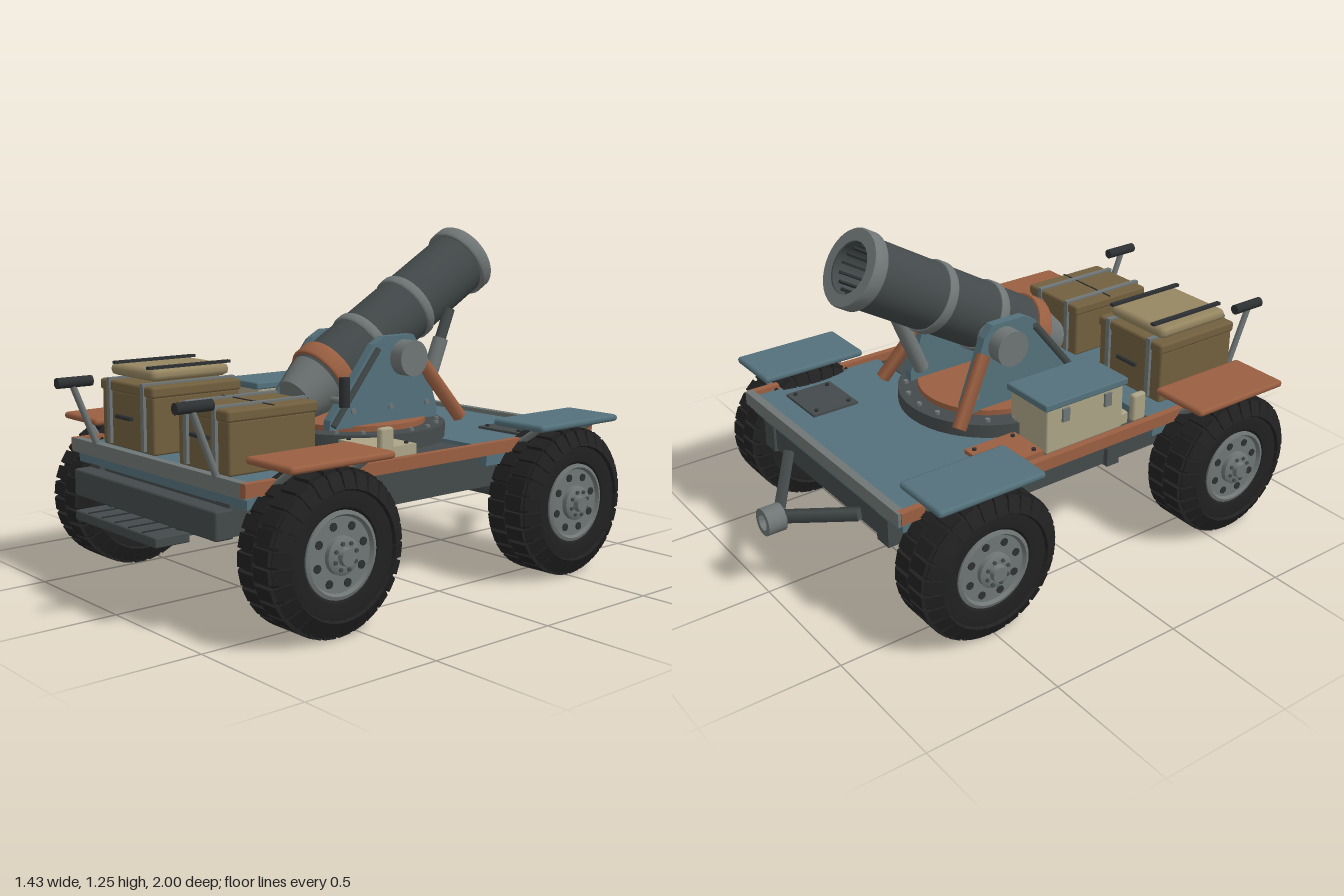
import * as THREE from 'three';
import { toCreasedNormals } from 'three/addons/utils/BufferGeometryUtils.js';
import { RoundedBoxGeometry } from 'three/addons/geometries/RoundedBoxGeometry.js';

const paint = (name, color) => Object.assign(new THREE.MeshStandardMaterial({ color }), { name });
const M = {
  teal: paint('teal paint', 0x54717b), rust: paint('rust orange paint', 0x9a5f41),
  wood: paint('brown wood', 0x72603f), tan: paint('tan canvas', 0x978762),
  cream: paint('cream paint', 0xaba487), dark: paint('gunmetal', 0x444a4b),
  steel: paint('steel', 0x6f7675), black: paint('dark iron', 0x2d3032), rubber: paint('rubber', 0x212121),
};

function add(parent, name, geo, mat, x = 0, y = 0, z = 0) {
  const m = new THREE.Mesh(geo, mat);
  m.name = name;
  m.position.set(x, y, z);
  parent.add(m);
  return m;
}
// Box given by its extents on each axis
function box(parent, name, mat, x0, x1, y0, y1, z0, z1, r = 0) {
  const s = [x1 - x0, y1 - y0, z1 - z0];
  const geo = r ? new RoundedBoxGeometry(...s, 1, r) : new THREE.BoxGeometry(...s);
  return add(parent, name, geo, mat, (x0 + x1) / 2, (y0 + y1) / 2, (z0 + z1) / 2);
}
// Round or square bar between two points
function bar(parent, name, mat, a, b, r, sides = 16) {
  const p = new THREE.Vector3(...a), q = new THREE.Vector3(...b), d = q.clone().sub(p);
  const m = add(parent, name, new THREE.CylinderGeometry(r, r, d.length(), sides), mat);
  m.position.copy(p).add(q).multiplyScalar(0.5);
  m.quaternion.setFromUnitVectors(new THREE.Vector3(0, 1, 0), d.normalize());
  return m;
}
const lathe = (pts, seg = 40) => toCreasedNormals(
  new THREE.LatheGeometry(pts.map(p => new THREE.Vector2(...p)), seg), 0.6);

// Wheel with its axle along x and its outer face at +x
function wheel() {
  const g = new THREE.Group();
  g.name = 'wheel';
  const spin = geo => geo.rotateZ(-Math.PI / 2);
  add(g, 'tyre', spin(lathe([[0.13, -0.08], [0.15, -0.098], [0.21, -0.105], [0.245, -0.09], [0.258, -0.065],
    [0.258, 0.065], [0.245, 0.09], [0.21, 0.105], [0.15, 0.098], [0.13, 0.08]], 48)), M.rubber);
  const n = 28, block = new THREE.BoxGeometry(0.075, 0.016, 0.047);
  const lug = new THREE.BoxGeometry(0.012, 0.06, 0.045);
  for (let i = 0; i < n; i++) for (const s of [-1, 1]) {
    const a = (i + (s > 0 ? 0.5 : 0)) / n * Math.PI * 2;
    const b = add(g, 'treadBlock', block, M.rubber, s * 0.039, Math.cos(a) * 0.263, Math.sin(a) * 0.263);
    b.rotation.x = a;
    const l = add(g, 'shoulderLug', lug, M.rubber, s * 0.096, Math.cos(a) * 0.233, Math.sin(a) * 0.233);
    l.rotation.set(a, 0, s * 0.5);
  }
  add(g, 'rim', spin(lathe([[0, -0.08], [0.13, -0.08], [0.142, -0.095], [0.142, 0.098], [0.13, 0.102],
    [0.122, 0.09], [0, 0.09]])), M.steel);
  add(g, 'hub', spin(lathe([[0, 0.08], [0.062, 0.08], [0.062, 0.108], [0.05, 0.115], [0.03, 0.115],
    [0.027, 0.133], [0, 0.133]], 24)), M.steel);
  for (let i = 0; i < 8; i++) {
    const a = i * Math.PI / 4 + 0.3, c = Math.cos(a), s = Math.sin(a);
    add(g, 'rimHole', spin(new THREE.CylinderGeometry(0.014, 0.014, 0.006, 12)), M.black, 0.091, c * 0.097, s * 0.097);
    add(g, 'hubBolt', spin(new THREE.CylinderGeometry(0.007, 0.007, 0.014, 6)), M.dark, 0.115, c * 0.044, s * 0.044);
  }
  return g;
}

// Strapped ammunition crate
function crate(parent, x0, x1, top, z0, z1, straps) {
  const g = new THREE.Group(), xm = (x0 + x1) / 2;
  g.name = 'crate';
  parent.add(g);
  box(g, 'crateBody', M.wood, x0, x1, 0.49, top - 0.035, z0, z1, 0.008);
  box(g, 'crateLid', M.wood, x0 - 0.005, x1 + 0.005, top - 0.04, top, z0 - 0.007, z1 + 0.007, 0.01);
  for (const x of straps) {
    box(g, 'strap', M.steel, x - 0.01, x + 0.01, 0.5, top + 0.007, z0 - 0.012, z1 + 0.012);
  }
  for (const z of [z0 - 0.014, z1 + 0.014]) bar(g, 'crateHandle', M.black, [xm - 0.05, 0.605, z], [xm + 0.05, 0.605, z], 0.008, 8);
}

// Flat riveted plate
function hatch(parent, name, mat, x0, x1, y0, y1, z0, z1) {
  box(parent, name, mat, x0, x1, y0, y1, z0, z1);
  for (const x of [x0 + 0.025, x1 - 0.025]) for (const z of [z0 + 0.025, z1 - 0.025]) {
    add(parent, 'rivet', new THREE.CylinderGeometry(0.008, 0.008, 0.01, 8), M.black, x, y1 + 0.002, z);
  }
}

export function createModel() {
  const root = new THREE.Group();
  root.name = 'mortarCarriage';
  const axles = [0.595, -0.513];

  // Chassis frame and deck
  box(root, 'frontDeck', M.teal, -0.515, 0.515, 0.42, 0.49, 0.32, 0.835);
  box(root, 'middleDeck', M.dark, -0.5, 0.5, 0.43, 0.48, -0.2, 0.3);
  box(root, 'rearDeck', M.teal, -0.515, 0.515, 0.42, 0.49, -0.755, -0.215);
  box(root, 'frontBeam', M.steel, -0.53, 0.53, 0.457, 0.507, 0.825, 0.855);
  box(root, 'rearBeam', M.steel, -0.53, 0.53, 0.457, 0.507, -0.78, -0.75);
  for (const z of [0.79, 0.33, 0.05, -0.23, -0.72]) box(root, 'crossMember', M.dark, -0.4, 0.4, 0.33, 0.42, z - 0.03, z + 0.03);
  box(root, 'bumper', M.dark, -0.44, 0.44, 0.315, 0.412, 0.83, 0.9, 0.008);
  box(root, 'step', M.dark, -0.255, 0.255, 0.275, 0.31, 0.87, 1, 0.006);
  for (let i = -2; i <= 2; i++) box(root, 'stepRib', M.black, i * 0.085 - 0.003, i * 0.085 + 0.003, 0.308, 0.314, 0.875, 0.995);
  for (const s of [-1, 1]) {
    const span = (a, b) => s > 0 ? [a, b] : [-b, -a];
    box(root, 'sideRail', M.rust, ...span(0.508, 0.535), 0.463, 0.507, -0.77, 0.855);
    box(root, 'chassisRail', M.dark, ...span(0.36, 0.43), 0.32, 0.425, -0.76, 0.84);
    box(root, 'railBracket', M.dark, ...span(0.42, 0.45), 0.315, 0.43, 0.165, 0.22);
    box(root, 'stepBracket', M.dark, ...span(0.2, 0.23), 0.29, 0.34, 0.82, 0.89);
    box(root, 'markerLamp', M.cream, ...span(0.484, 0.512), 0.505, 0.612, 0.225, 0.285, 0.01);
    // Fenders and their brackets
    box(root, 'frontFender', M.rust, ...span(0.455, 0.692), 0.55, 0.576, 0.38, 0.8, 0.012);
    box(root, 'rearFender', M.teal, ...span(0.455, 0.692), 0.55, 0.576, -0.73, -0.31, 0.012);
    for (const z of [0.44, 0.74, -0.37, -0.67]) bar(root, 'fenderBracket', M.steel, [s * 0.52, 0.48, z], [s * 0.63, 0.555, z], 0.013, 4);
    // Front levers
    bar(root, 'leverRod', M.steel, [s * 0.37, 0.49, 0.84], [s * 0.37, 0.725, 0.935], 0.012, 10);
    bar(root, 'leverGrip', M.black, [s * 0.37, 0.732, 0.86], [s * 0.37, 0.732, 0.995], 0.019, 14);
    // Towing arms
    bar(root, 'towArm', M.dark, [s * 0.25, 0.36, -0.76], [0, 0.29, -0.94], 0.027, 4);
    for (const z of axles) {
      box(root, 'axleMount', M.rust, ...span(0.378, 0.43), 0.275, 0.325, z - 0.045, z + 0.045);
      const w = wheel();
      w.position.set(s * 0.58, 0.272, z);
      if (s < 0) w.rotation.y = Math.PI;
      root.add(w);
    }
  }
  for (const z of axles) bar(root, 'axle', M.dark, [-0.52, 0.27, z], [0.52, 0.27, z], 0.04, 20);
  add(root, 'towRing', lathe([[0.03, -0.035], [0.05, -0.035], [0.05, 0.035], [0.03, 0.035], [0.03, -0.035]], 24)
    .rotateX(Math.PI / 2), M.steel, 0, 0.288, -0.965);

  // Cargo
  crate(root, -0.435, -0.095, 0.728, 0.42, 0.78, [-0.375, -0.15]);
  box(root, 'cushion', M.tan, -0.425, -0.135, 0.738, 0.782, 0.43, 0.755, 0.02);
  for (const x of [-0.375, -0.15]) box(root, 'cushionStrap', M.black, x - 0.009, x + 0.009, 0.782, 0.792, 0.425, 0.765);
  crate(root, 0.065, 0.355, 0.703, 0.435, 0.785, [0.12, 0.285]);
  box(root, 'crateSeam', M.black, 0.065, 0.355, 0.702, 0.706, 0.605, 0.61);
  box(root, 'chestBody', M.cream, -0.475, -0.27, 0.48, 0.652, -0.14, 0.205, 0.006);
  box(root, 'chestLid', M.teal, -0.485, -0.26, 0.65, 0.677, -0.152, 0.22, 0.006);
  for (const z of [-0.06, 0.13]) box(root, 'chestLatch', M.steel, -0.484, -0.474, 0.59, 0.64, z - 0.015, z + 0.015);
  box(root, 'chestFoot', M.cream, -0.47, -0.39, 0.48, 0.53, 0.2, 0.24, 0.008);
  hatch(root, 'creamHatch', M.cream, 0.24, 0.465, 0.48, 0.532, 0.08, 0.24);
  hatch(root, 'rustHatch', M.rust, -0.48, -0.31, 0.48, 0.505, -0.37, -0.155);
  hatch(root, 'rearHatch', M.dark, 0.225, 0.435, 0.488, 0.499, -0.66, -0.475);

  // Turntable
  const zc = -0.045;
  add(root, 'turntableRing', new THREE.CylinderGeometry(0.335, 0.335, 0.06, 48), M.dark, 0, 0.51, zc);
  add(root, 'turntableDisc', new THREE.CylinderGeometry(0.26, 0.26, 0.02, 48), M.rust, 0, 0.55, zc);
  for (let i = 0; i < 20; i++) {
    const a = i / 20 * Math.PI * 2;
    add(root, 'ringBolt', new THREE.CylinderGeometry(0.01, 0.01, 0.012, 6), M.steel, Math.cos(a) * 0.305, 0.545, zc + Math.sin(a) * 0.305);
  }

  // Cradle cheeks, trunnions and braces
  const cheek = new THREE.Shape([[0.24, 0.555], [0.235, 0.59], [0.03, 0.845], [-0.02, 0.872], [-0.16, 0.872], [-0.195, 0.83],
    [-0.285, 0.59], [-0.285, 0.555]].map(p => new THREE.Vector2(...p)));
  const cheekGeo = new THREE.ExtrudeGeometry(cheek, { depth: 0.035, bevelEnabled: false })
    .translate(0, 0, -0.0175).rotateY(-Math.PI / 2);
  for (const s of [-1, 1]) {
    add(root, 'cheek', cheekGeo, M.teal, s * 0.172, 0, 0);
    bar(root, 'trunnion', M.steel, [s * 0.12, 0.79, -0.113], [s * 0.248, 0.79, -0.113], 0.066, 24);
    bar(root, 'cheekBrace', M.rust, [s * 0.19, 0.77, -0.2], [s * 0.25, 0.55, -0.35], 0.026, 4);
    bar(root, 'cheekStay', M.dark, [s * 0.2, 0.83, 0.02], [s * 0.2, 0.57, 0.23], 0.014, 4);
    for (const z of [-0.23, -0.05, 0.13]) bar(root, 'cheekRivet', M.steel, [s * 0.185, 0.615, z], [s * 0.196, 0.615, z], 0.011, 8);
  }
  // Elevating strut and crank
  bar(root, 'strutRod', M.dark, [0.15, 0.95, -0.385], [0.15, 0.82, -0.33], 0.021, 16);
  bar(root, 'strutSleeve', M.steel, [0.15, 0.84, -0.34], [0.15, 0.6, -0.24], 0.029, 16);
  bar(root, 'crankShaft', M.steel, [0.16, 0.66, 0.2], [0.23, 0.66, 0.2], 0.012, 10);
  bar(root, 'crankGrip', M.black, [0.225, 0.64, 0.2], [0.225, 0.745, 0.2], 0.02, 14);

  // Barrel: local +y points out of the muzzle, origin at the muzzle
  const gun = new THREE.Group();
  gun.name = 'barrelAssembly';
  gun.position.set(0, 1.135, -0.61);
  gun.rotation.x = -1.043;
  root.add(gun);
  add(gun, 'barrel', lathe([[0.12, -0.87], [0.125, -0.85], [0.125, -0.005], [0.092, -0.005], [0.092, -0.6], [0, -0.6]]), M.dark);
  add(gun, 'breech', lathe([[0, -0.98], [0.085, -0.98], [0.122, -0.855], [0, -0.855]]), M.steel);
  const band = (name, mat, r, t0, t1) => add(gun, name,
    lathe([[0.093, -t1], [r - 0.004, -t1], [r, -t1 + 0.006], [r, -t0 - 0.006], [r - 0.004, -t0], [0.093, -t0]]), mat);
  band('muzzleBand', M.steel, 0.14, 0, 0.055);
  band('frontBand', M.steel, 0.133, 0.345, 0.385);
  band('middleBand', M.steel, 0.133, 0.6, 0.64);
  band('breechBand', M.rust, 0.136, 0.795, 0.86);
  for (let i = 0; i < 16; i++) {
    const a = i / 16 * Math.PI * 2;
    const rib = add(gun, 'boreRib', new THREE.BoxGeometry(0.008, 0.56, 0.012), M.black, Math.sin(a) * 0.088, -0.31, Math.cos(a) * 0.088);
    rib.rotation.y = a;
  }
  return root;
}
